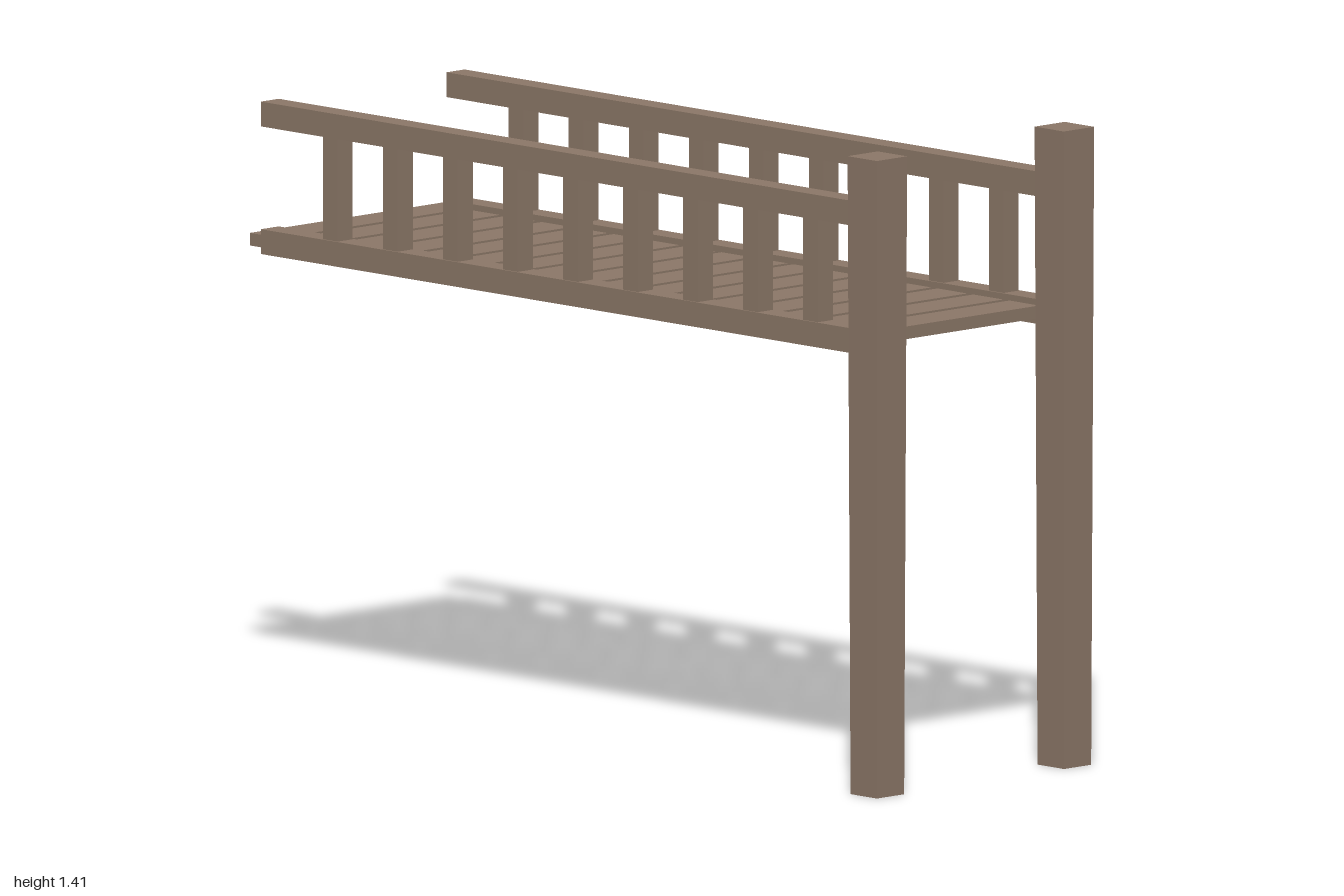
import * as THREE from 'three';

export function createModel() {
  const model = new THREE.Group();
  model.name = 'woodenWalkway';
  const wood = new THREE.MeshStandardMaterial({ color: 0x8c7868, flatShading: true });

  function beam(name, w, h, d, x, y, z) {
    const mesh = new THREE.Mesh(new THREE.BoxGeometry(w, h, d), wood);
    mesh.name = name;
    mesh.position.set(x, y, z);
    model.add(mesh);
    return mesh;
  }

  // Deck planks
  for (let i = 0; i < 17; i++) {
    beam('plank', 0.094, 0.028, 0.61, -0.953 + i * 0.1131, 1.002, 0);
  }

  for (const side of [1, -1]) {
    const name = side > 0 ? 'front' : 'back';
    const z = side * 0.283;

    // Deck stringer and handrail
    beam(name + 'Stringer', 1.87, 0.055, 0.055, -0.025, 1.002, z);
    beam(name + 'Handrail', 1.87, 0.055, 0.055, -0.025, 1.285, z);

    // Balusters
    for (let i = 0; i < 9; i++) {
      beam(name + 'Baluster', 0.046, 0.23, 0.046, -0.746 + i * 0.1887, 1.143, z);
    }

    // Post, slightly wider toward the top
    const post = beam(name + 'Post', 0.083, 1.415, 0.083, 0.952, 0.7075, side * 0.285);
    const pos = post.geometry.attributes.position;
    for (let i = 0; i < pos.count; i++) {
      if (pos.getY(i) > 0) {
        pos.setX(i, pos.getX(i) * 1.11);
        pos.setZ(i, pos.getZ(i) * 1.11);
      }
    }
    post.geometry.computeVertexNormals();
  }

  return model;
}
